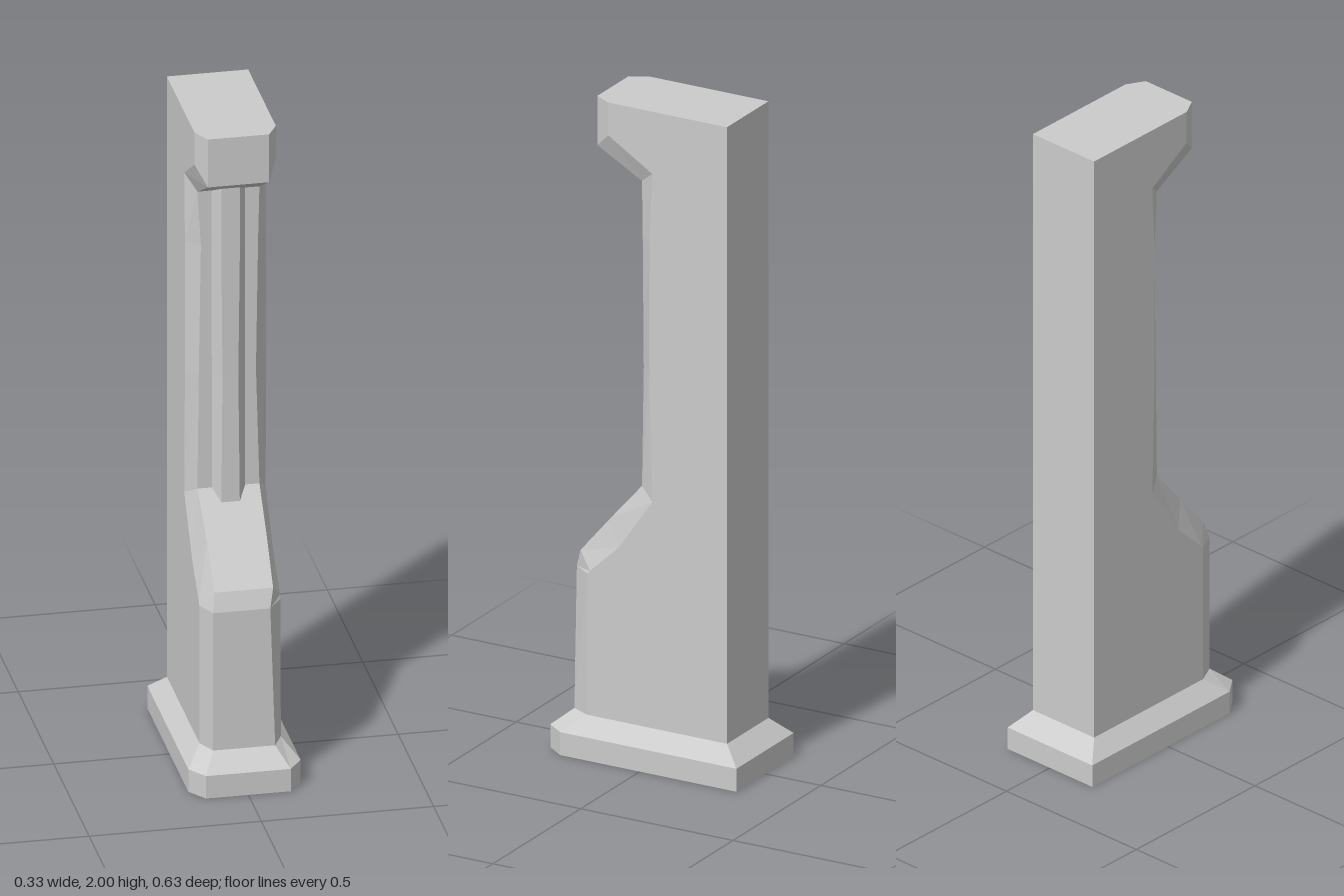
import * as THREE from 'three';

const material = new THREE.MeshStandardMaterial({ color: 0xcccccc, flatShading: true, side: THREE.DoubleSide });

// Skins a stack of rings (equal point counts, counter-clockwise seen from +z-to-+x) and caps both ends.
function loft(rings) {
  const pos = [];
  const n = rings[0].length;
  const tri = (a, b, c) => pos.push(...a, ...b, ...c);
  for (let i = 0; i < rings.length - 1; i++) {
    for (let j = 0; j < n; j++) {
      const k = (j + 1) % n;
      const a = rings[i][j], b = rings[i][k], c = rings[i + 1][k], d = rings[i + 1][j];
      tri(a, b, c);
      tri(a, c, d);
    }
  }
  const bottom = rings[0], top = rings[rings.length - 1];
  for (let j = 1; j < n - 1; j++) {
    tri(bottom[0], bottom[j + 1], bottom[j]);
    tri(top[0], top[j], top[j + 1]);
  }
  const g = new THREE.BufferGeometry();
  g.setAttribute('position', new THREE.Float32BufferAttribute(pos, 3));
  g.computeVertexNormals();
  return g;
}

// Rectangular section with its two front corners cut off; the front edge may sit at its own height.
const section = (w, back, sideY, sideZ, frontY, frontZ, xl, xr) => [
  [xl, frontY, frontZ], [xr, frontY, frontZ],
  [w, sideY, sideZ], [w, sideY, back],
  [-w, sideY, back], [-w, sideY, sideZ],
];

function add(group, name, geometry) {
  const mesh = new THREE.Mesh(geometry, material);
  mesh.name = name;
  group.add(mesh);
  return mesh;
}

export function createModel() {
  const group = new THREE.Group();
  group.name = 'pillar';

  // Plinth with a sloped upper edge
  add(group, 'plinth', loft([
    section(0.163, -0.317, 0, 0.262, 0, 0.317, -0.123, 0.123),
    section(0.163, -0.317, 0.07, 0.262, 0.07, 0.317, -0.123, 0.123),
    section(0.118, -0.26, 0.12, 0.2, 0.12, 0.257, -0.09, 0.09),
  ]));

  // Shaft: lower block, sloping shoulder, recessed front, overhanging head
  // [sideY, sideZ, frontY, frontZ, leftmost x, rightmost x of the front edge]
  const profile = [
    [0.12, 0.2, 0.12, 0.257, -0.09, 0.09],
    [0.55, 0.198, 0.55, 0.257, -0.09, 0.076],
    [0.56, 0.19, 0.605, 0.238, -0.082, 0.088],
    [0.65, 0.095, 0.72, 0.14, -0.084, 0.09],
    [0.81, -0.015, 0.84, 0.035, -0.09, 0.09],
    [1.2, -0.005, 1.2, 0.035, -0.086, 0.08],
    [1.6, -0.005, 1.6, 0.035, -0.08, 0.086],
    [1.81, -0.015, 1.77, 0.035, -0.09, 0.09],
    [1.9, 0.13, 1.85, 0.183, -0.09, 0.088],
    [2, 0.13, 2, 0.183, -0.09, 0.088],
  ];
  add(group, 'shaft', loft(profile.map((p) => section(0.118, -0.26, ...p))));

  // Tapered rib on the recessed front, its ends buried in the shoulder and the head
  const ribs = [[0.77, 0.066, 0.027], [1.2, 0.063, 0.023], [1.6, 0.066, 0.027], [1.81, 0.068, 0.027]];
  add(group, 'frontRib', loft(ribs.map(([y, z, x]) => [
    [-x, y, z], [x, y, z], [0.052, y, 0.03], [-0.052, y, 0.03],
  ])));

  return group;
}
